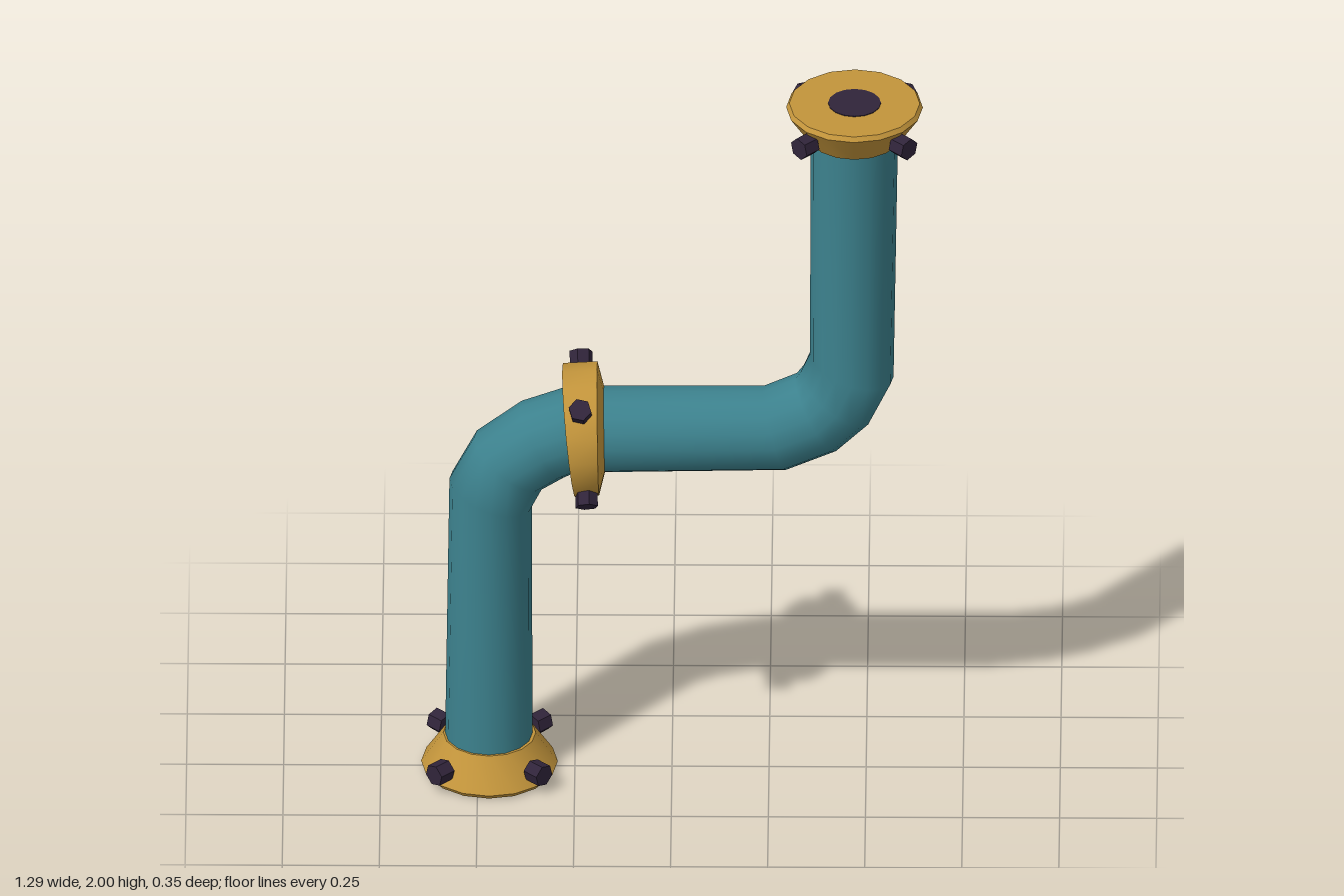
import * as THREE from 'three';
import { toCreasedNormals } from 'three/addons/utils/BufferGeometryUtils.js';

const SIDES = 16;
const mat = (name, color) => {
  const m = new THREE.MeshStandardMaterial({ color });
  m.name = name;
  return m;
};

// Sweep round rings [x, y, axis angle in degrees, radius] lying in the xy plane
function sweep(rings) {
  const pos = [], idx = [];
  rings.forEach(([x, y, deg, r], i) => {
    const a = THREE.MathUtils.degToRad(deg);
    for (let j = 0; j < SIDES; j++) {
      const t = (j / SIDES) * Math.PI * 2;
      const n = r * Math.cos(t);
      pos.push(x - Math.sin(a) * n, y + Math.cos(a) * n, r * Math.sin(t));
      if (i === rings.length - 1) continue;
      const k = (j + 1) % SIDES;
      const p = i * SIDES + j, q = i * SIDES + k;
      idx.push(p, q, p + SIDES, q, q + SIDES, p + SIDES);
    }
  });
  const g = new THREE.BufferGeometry();
  g.setAttribute('position', new THREE.Float32BufferAttribute(pos, 3));
  g.setIndex(idx);
  g.computeVertexNormals();
  return g;
}

export function createModel() {
  const teal = mat('teal pipe paint', 0x3c818d);
  const brass = mat('brass', 0xc2943b);
  const dark = mat('dark iron', 0x30243a);

  const model = new THREE.Group();
  model.name = 'pipe';
  const add = (parent, name, geometry, material) => {
    const m = new THREE.Mesh(geometry, material);
    m.name = name;
    parent.add(m);
    return m;
  };

  // Four hexagonal bolts spread around the y axis of a group
  const boltGeo = new THREE.CylinderGeometry(0.03, 0.03, 0.046, 6).toNonIndexed();
  boltGeo.computeVertexNormals();
  const addBolts = (parent, y, radius) => {
    for (let i = 0; i < 4; i++) {
      const a = Math.PI / 4 + (i * Math.PI) / 2;
      const dir = new THREE.Vector3(Math.cos(a), 0, Math.sin(a));
      const b = add(parent, 'bolt', boltGeo, dark);
      b.position.copy(dir).multiplyScalar(radius).setY(y);
      b.quaternion.setFromUnitVectors(new THREE.Vector3(0, 1, 0), dir);
    }
  };

  // S-shaped pipe with two four-ring bends
  const R = 0.113;
  add(model, 'pipeBody', sweep([
    [-0.472, 0.03, 90, R],
    [-0.467, 0.825, 70, R],
    [-0.419, 0.92, 53, R],
    [-0.333, 0.983, 31, R],
    [-0.265, 1.01, 6, R],
    [-0.18, 1.015, 1, R],
    [0.265, 1.02, 16, R],
    [0.372, 1.068, 29, R],
    [0.422, 1.12, 53, R],
    [0.463, 1.21, 72, R],
    [0.47, 1.97, 90, R],
  ]), teal);

  // End flanges: flared collar, bolts and dark bore; the top one is turned over
  const collarGeo = toCreasedNormals(sweep([
    [0, 0.002, 90, 0],
    [0, 0.002, 90, 0.168],
    [0, 0.014, 90, 0.176],
    [0, 0.1, 90, 0.119],
    [0, 0.1, 90, 0.1],
  ]), 0.5);
  const boreGeo = new THREE.CylinderGeometry(0.068, 0.068, 0.004, SIDES);
  for (const end of ['bottom', 'top']) {
    const flange = new THREE.Group();
    flange.name = end + 'Flange';
    add(flange, 'collar', collarGeo, brass);
    add(flange, 'bore', boreGeo, dark).position.y = 0.002;
    addBolts(flange, 0.055, 0.178);
    if (end === 'top') {
      flange.position.set(0.47, 2, 0);
      flange.rotation.z = Math.PI;
    } else flange.position.set(-0.47, 0, 0);
    model.add(flange);
  }

  // Middle joint ring, its left face following the bend
  const joint = new THREE.Group();
  joint.name = 'middleJoint';
  add(joint, 'jointRing', toCreasedNormals(sweep([
    [-0.264, 1.01, 6.2, 0.1],
    [-0.264, 1.01, 6.2, 0.176],
    [-0.19, 1.016, 1, 0.175],
    [-0.172, 1.015, 1, 0.105],
  ]), 0.5), brass);
  const jointBolts = new THREE.Group();
  jointBolts.name = 'jointBolts';
  jointBolts.position.set(-0.227, 1.014, 0);
  jointBolts.rotation.z = -Math.PI / 2 + 0.06;
  addBolts(jointBolts, 0, 0.184);
  joint.add(jointBolts);
  model.add(joint);

  return model;
}
